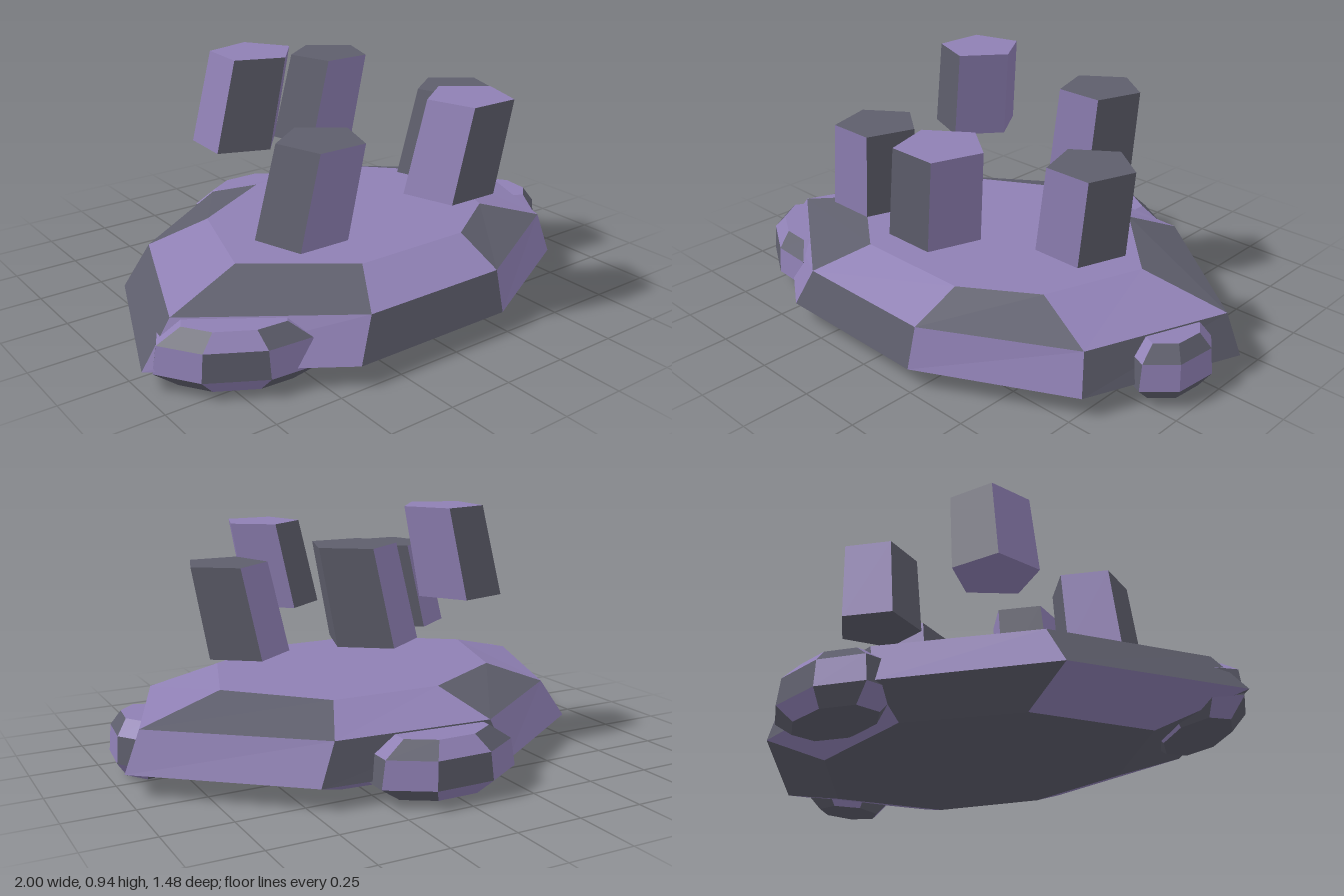
import * as THREE from 'three';

const PURPLE = 0x8f80b4, GREY = 0x5e5e6c;

// Stack of rings (arrays of [x, y, z], bottom to top) closed by caps.
// tone(band, side) picks 0 = purple or 1 = grey for each facet;
// band -1 is the bottom cap, band rings.length - 1 is the top cap.
function facetedSolid(name, rings, tone) {
  const lists = [[], []];
  const n = rings[0].length;
  const tri = (t, a, b, c) => lists[t].push(...a, ...b, ...c);
  for (let r = 0; r < rings.length - 1; r++) {
    for (let i = 0; i < n; i++) {
      const j = (i + 1) % n, lo = rings[r], hi = rings[r + 1], t = tone(r, i);
      tri(t, lo[j], lo[i], hi[i]);
      tri(t, lo[j], hi[i], hi[j]);
    }
  }
  const bottom = rings[0], top = rings[rings.length - 1];
  for (let i = 1; i < n - 1; i++) {
    tri(tone(-1, 0), bottom[0], bottom[i], bottom[i + 1]);
    tri(tone(rings.length - 1, 0), top[0], top[i + 1], top[i]);
  }
  const group = new THREE.Group();
  group.name = name;
  [PURPLE, GREY].forEach((color, t) => {
    if (!lists[t].length) return;
    const geometry = new THREE.BufferGeometry();
    geometry.setAttribute('position', new THREE.Float32BufferAttribute(lists[t], 3));
    geometry.computeVertexNormals();
    const mesh = new THREE.Mesh(geometry, new THREE.MeshStandardMaterial({ color, flatShading: true }));
    mesh.name = name + (t ? 'GreyFacets' : 'PurpleFacets');
    group.add(mesh);
  });
  return group;
}

const atHeight = (points, y) => points.map(([x, z]) => [x, y, z]);

// Ellipse of n corners, turned by rot in the ground plane
function ellipse(cx, cz, a, b, rot, n, start = 0) {
  return Array.from({ length: n }, (_, i) => {
    const t = start + (i / n) * Math.PI * 2;
    const u = a * Math.cos(t), v = b * Math.sin(t);
    return [cx + u * Math.cos(rot) - v * Math.sin(rot), cz + u * Math.sin(rot) + v * Math.cos(rot)];
  });
}

// Wide eight-sided stone base with bevelled rim
function base() {
  const rim = [[0.47, -0.56], [1, -0.12], [0.77, 0.46], [0.23, 0.74],
    [-0.41, 0.74], [-1, 0.35], [-0.76, -0.26], [-0.24, -0.61]];
  const shoulder = [[0.41, -0.54], [0.94, -0.11], [0.74, 0.42], [0.23, 0.7],
    [-0.34, 0.7], [-0.88, 0.33], [-0.66, -0.24], [-0.18, -0.58]];
  const top = [[0.32, -0.35], [0.62, -0.04], [0.49, 0.34], [0.23, 0.51],
    [-0.23, 0.51], [-0.58, 0.25], [-0.45, -0.16], [-0.1, -0.36]];
  const foot = rim.map(([x, z]) => [x * 0.68, z * 0.72]);
  return facetedSolid('stoneBase',
    [atHeight(foot, 0), atHeight(rim, 0.08), atHeight(shoulder, 0.23), atHeight(top, 0.31)],
    (band, i) => (band === 3 ? 0 : band === -1 ? 1 : (i + band + 1) % 2));
}

// Small boulder half sunk into the rim
function boulder(name, cx, cz, a, b, rot, n, start) {
  const ring = (s, y) => atHeight(ellipse(cx, cz, a * s, b * s, rot, n, start), y);
  return facetedSolid(name, [ring(0.7, 0.015), ring(1, 0.07), ring(0.94, 0.17), ring(0.64, 0.225)],
    (band, i) => (band === -1 ? 1 : (i + band + 1) % 2));
}

// Floating leaning five-sided pillar; x and z give the centre of its top
function pillar(name, x, z, y, start, flip) {
  const ring = (cx, cz, r, h) => atHeight(ellipse(cx, cz, r, r, 0, 5, start), h);
  return facetedSolid(name, [ring(x - 0.06, z - 0.03, 0.166, y), ring(x, z, 0.157, y + 0.34)],
    (band, i) => (band === 1 ? (flip ? 0 : 1) : (i + (flip ? 0 : 1)) % 2));
}

export function createModel() {
  const model = new THREE.Group();
  model.name = 'floatingPillarRock';
  model.add(base());

  // Boulders around the rim
  model.add(boulder('backBoulder', 0.02, -0.57, 0.29, 0.18, 0, 8, Math.PI / 8));
  model.add(boulder('frontRightBoulder', -0.71, 0.45, 0.29, 0.145, 0.52, 8, Math.PI / 8));
  model.add(boulder('leftBoulder', 0.86, 0.1, 0.13, 0.19, 0.1, 7, Math.PI / 7));

  // Ring of floating pillars: top x, top z, bottom height, corner angle, tone flip
  [
    [-0.26, -0.11, 0.6, 0.05, true],
    [0.21, -0.28, 0.5, -0.31, false],
    [0.52, 0.14, 0.4, -0.31, false],
    [-0.31, 0.38, 0.4, -0.31, false],
    [0.21, 0.54, 0.5, -0.31, true],
  ].forEach((p, i) => model.add(pillar('pillar' + (i + 1), ...p)));
  return model;
}
